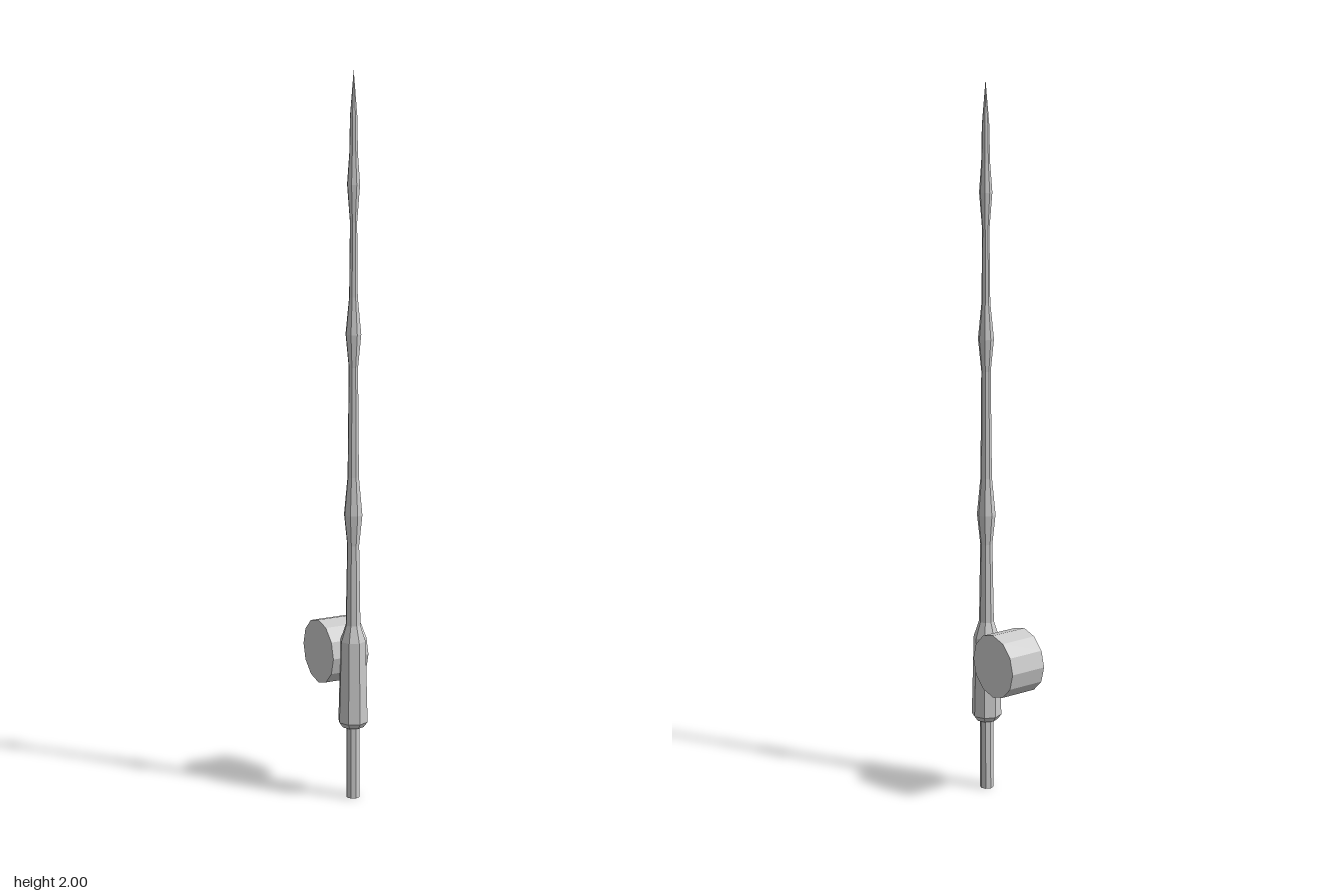
import * as THREE from 'three';

const material = new THREE.MeshStandardMaterial({ color: 0xcccccc, flatShading: true });
const ROD_Z = 0.075;

// Eight-sided turned part from [radius, height] pairs, bottom to top
function turned(name, profile) {
  const points = profile.map(([r, y]) => new THREE.Vector2(r, y));
  const mesh = new THREE.Mesh(new THREE.LatheGeometry(points, 8), material);
  mesh.name = name;
  mesh.position.z = ROD_Z;
  return mesh;
}

export function createModel() {
  const model = new THREE.Group();
  model.name = 'antennaRod';

  // Plain stub below the grip
  model.add(turned('bottomStub', [[0, 0], [0.019, 0], [0.019, 0.21]]));

  // Thick tapered grip with chamfered ends
  model.add(turned('grip', [
    [0, 0.205], [0.031, 0.205], [0.042, 0.22], [0.036, 0.45], [0.021, 0.495],
  ]));

  // Slender shaft with three swellings, ending in a point
  model.add(turned('shaft', [
    [0.021, 0.495], [0.017, 0.72], [0.026, 0.805], [0.016, 0.91],
    [0.013, 1.21], [0.022, 1.3], [0.012, 1.4],
    [0.01, 1.6], [0.018, 1.7], [0.012, 1.78], [0.01, 1.88], [0, 2],
  ]));

  // Drum lying across the back of the grip
  const drumGeometry = new THREE.CylinderGeometry(0.09, 0.09, 0.109, 12);
  drumGeometry.rotateZ(Math.PI / 2);
  const drum = new THREE.Mesh(drumGeometry, material);
  drum.name = 'drum';
  drum.position.set(0, 0.4, -0.027);
  model.add(drum);

  return model;
}
